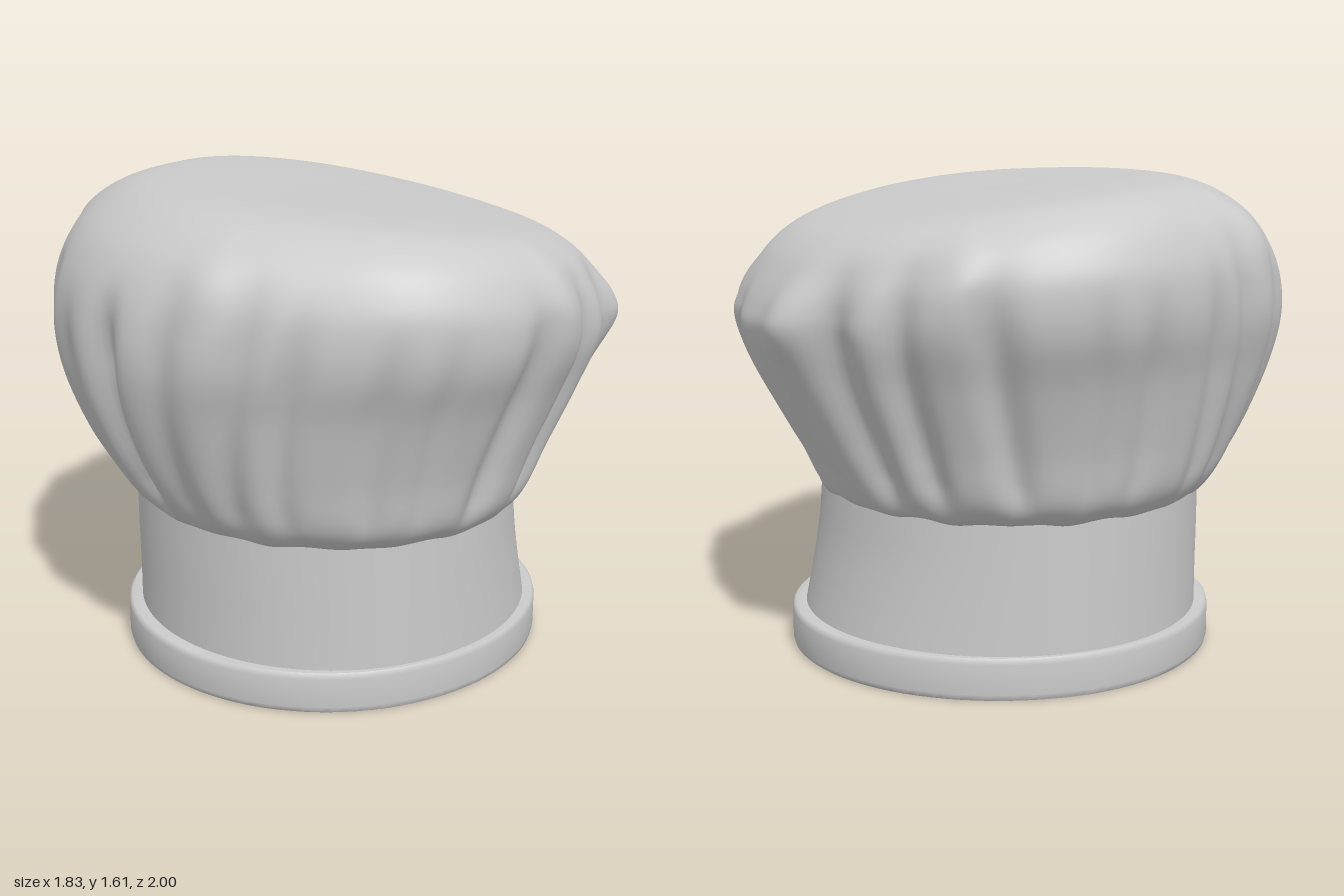
import * as THREE from 'three';
import { toCreasedNormals } from 'three/addons/utils/BufferGeometryUtils.js';

const SEGMENTS = 240;
const material = new THREE.MeshStandardMaterial({ color: 0xcccccc, side: THREE.DoubleSide });

// Skin of closed rings. Each row: [left x, left y, right x, right y, side z, side y].
// displace(angle, y, t) returns { radial, lift } offsets.
function loft(rows, steps, displace) {
  const guide = (i) => new THREE.CatmullRomCurve3(
    rows.map((r) => new THREE.Vector3(r[i], r[i + 1], 0)), false, 'catmullrom', 0.5);
  const guides = [guide(0), guide(2), guide(4)];
  const positions = [], index = [];
  for (let j = 0; j <= steps; j++) {
    const [left, right, side] = guides.map((g) => g.getPoint(j / steps));
    const tilt = (right.y - left.y) / 2;
    const bow = (right.y + left.y) / 2 - side.y;
    for (let i = 0; i < SEGMENTS; i++) {
      const a = (i / SEGMENTS) * Math.PI * 2;
      const c = Math.cos(a), s = Math.sin(a);
      const y = side.y + tilt * c + bow * c * c;
      const d = displace ? displace(a, y, j / steps) : { radial: 0, lift: 0 };
      const k = 1 + d.radial;
      positions.push((c > 0 ? right : left).x * c * k, y + d.lift, side.x * s * k);
      if (j < steps) {
        const n = (i + 1) % SEGMENTS;
        const p = j * SEGMENTS + i, q = j * SEGMENTS + n;
        index.push(p, p + SEGMENTS, q, q, p + SEGMENTS, q + SEGMENTS);
      }
    }
  }
  const geometry = new THREE.BufferGeometry();
  geometry.setAttribute('position', new THREE.Float32BufferAttribute(positions, 3));
  geometry.setIndex(index);
  geometry.computeVertexNormals();
  return geometry;
}

// Folds, mirrored front to back: [angle at waist, angle at crown, depth, width, top y]
const FOLDS = [
  [0, 0, 0.045, 5, 1.3], [17, 16, 0.015, 4, 1.2], [42, 38, 0.07, 5, 1.4],
  [57, 53, 0.055, 4, 1.45], [78, 71, 0.05, 4, 1.42], [94, 92, 0.02, 2.5, 1.35],
  [106, 104, 0.025, 3, 1.35], [126, 122, 0.03, 3.5, 1.42], [138, 132, 0.035, 4, 1.5],
  [150, 148, 0.03, 4, 1.45], [165, 164, 0.075, 4, 1.4], [180, 180, 0.03, 5, 1.35],
];

// Pointed corners where a ridge meets the crown: [angle, y, amount, width, height]
const CORNERS = [
  [27, 1.2, 0.045, 6, 0.14], [64, 1.38, 0.02, 5, 0.14], [142, 1.46, 0.025, 5, 0.1],
];

const bell = (x) => Math.exp(-x * x);

function pleats(a, y, t) {
  let deg = THREE.MathUtils.radToDeg(a);
  if (deg > 180) deg = 360 - deg;
  const rise = THREE.MathUtils.clamp((y - 0.57) / 0.75, 0, 1);
  // Flattened flank towards -x
  let radial = -0.045 * bell((deg - 121) / 18) * THREE.MathUtils.smoothstep(y, 0.65, 1.2);
  for (const [low, high, depth, width, top] of FOLDS) {
    const fade = THREE.MathUtils.smoothstep(y, 0.55, 0.72)
      * (1 - THREE.MathUtils.smoothstep(y, top - 0.28, top + 0.04));
    radial -= depth * fade * bell((deg - THREE.MathUtils.lerp(low, high, rise)) / width);
  }
  // Corners stay on the wall and fade out over the top
  const wall = 1 - THREE.MathUtils.smoothstep(t, 0.72, 0.85);
  for (const [angle, height, amount, width, reach] of CORNERS) {
    radial += amount * wall * bell((deg - angle) / width) * bell((y - height) / reach);
  }
  // Small gathers along the waist seam
  const gather = Math.max(0, 1 - t / 0.15);
  const lift = gather * 0.004 * (Math.sin(a * 13) + Math.sin(a * 21 + 1));
  return { radial, lift };
}

export function createModel() {
  const group = new THREE.Group();
  const add = (name, geometry) => {
    const mesh = new THREE.Mesh(geometry, material);
    mesh.name = name;
    group.add(mesh);
  };

  // Puffed crown, tilted down towards +x
  add('puffedCrown', loft([
    [0.640, 0.560, 0.630, 0.560, 0.665, 0.560],
    [0.685, 0.590, 0.660, 0.590, 0.730, 0.585],
    [0.750, 0.680, 0.710, 0.690, 0.795, 0.660],
    [0.830, 0.820, 0.785, 0.820, 0.840, 0.820],
    [0.900, 1.000, 0.880, 1.000, 0.910, 1.020],
    [0.925, 1.150, 0.925, 1.140, 0.980, 1.180],
    [0.910, 1.280, 0.905, 1.220, 1.000, 1.300],
    [0.860, 1.400, 0.850, 1.310, 0.985, 1.400],
    [0.780, 1.500, 0.780, 1.390, 0.920, 1.500],
    [0.650, 1.580, 0.670, 1.455, 0.800, 1.560],
    [0.500, 1.610, 0.450, 1.510, 0.600, 1.578],
    [0.250, 1.598, 0.230, 1.550, 0.300, 1.578],
    [0.000, 1.575, 0.000, 1.575, 0.000, 1.575],
  ], 84, pleats));

  // Upright headband
  add('headband', loft([
    [0.660, 0.120, 0.710, 0.120, 0.680, 0.120],
    [0.660, 0.270, 0.680, 0.270, 0.680, 0.270],
    [0.662, 0.420, 0.655, 0.420, 0.680, 0.420],
    [0.662, 0.580, 0.640, 0.580, 0.680, 0.580],
  ], 12));

  // Thick rolled hem: closed profile of [inset from the outside, height]
  const hemProfile = [
    [0.030, 0.008], [0.025, 0], [0.012, 0], [0.004, 0.006], [0, 0.020], [0, 0.120],
    [0.004, 0.134], [0.012, 0.140], [0.052, 0.140], [0.052, 0.125], [0.040, 0.118], [0.030, 0.008],
  ];
  const hem = loft(hemProfile.map(([d, y]) => [0.71 - d, y, 0.755 - d, y, 0.70 - d / 2, y]),
    hemProfile.length - 1);
  add('hem', toCreasedNormals(hem, 0.7));

  return group;
}
